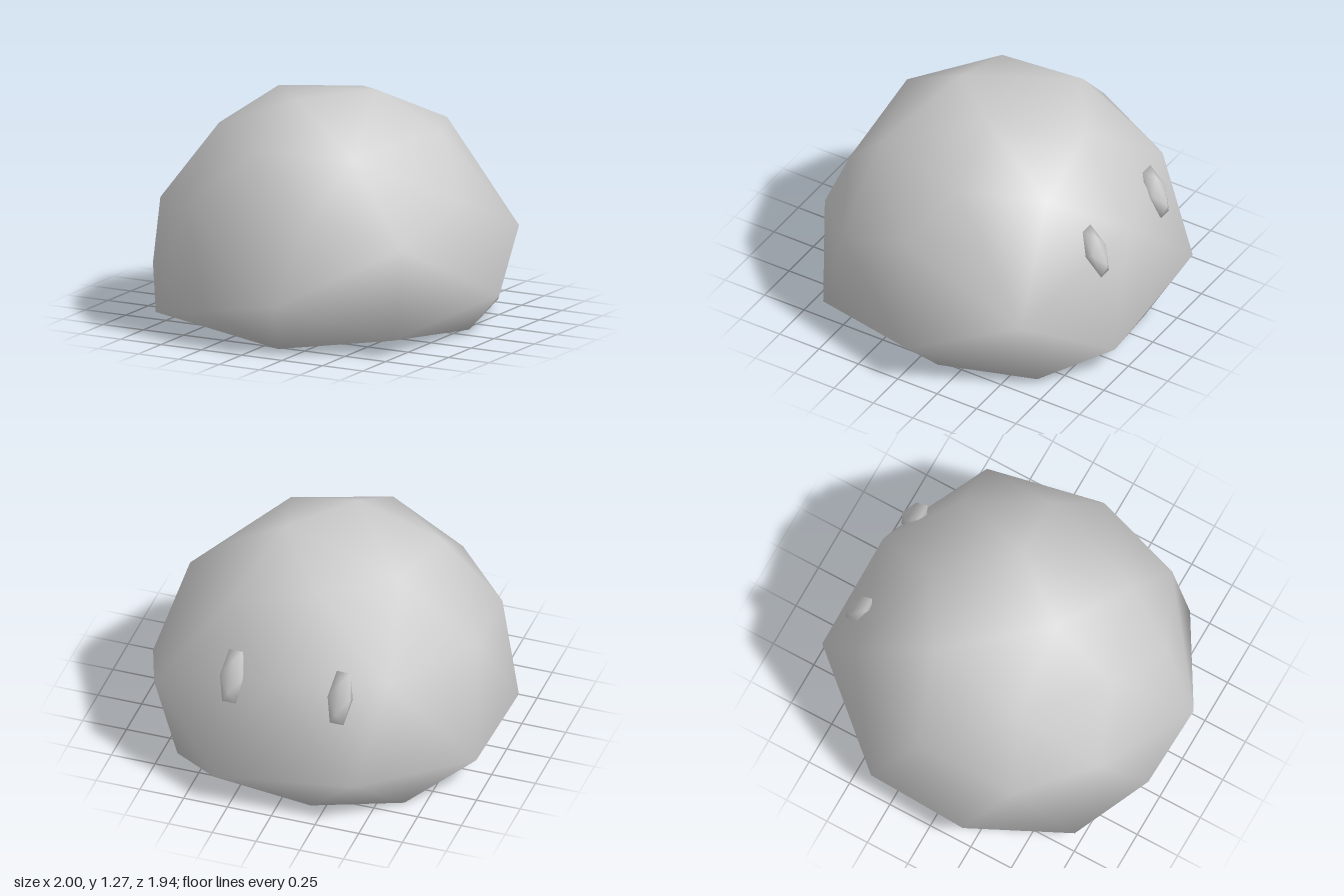
import * as THREE from 'three';
import { mergeVertices } from 'three/addons/utils/BufferGeometryUtils.js';
import { ConvexGeometry } from 'three/addons/geometries/ConvexGeometry.js';

// Shares the corners so that the low-poly surface is shaded smoothly
function smooth(geometry) {
  geometry.deleteAttribute('normal');
  geometry.deleteAttribute('uv');
  const merged = mergeVertices(geometry, 1e-4);
  merged.computeVertexNormals();
  return merged;
}

export function createModel() {
  const group = new THREE.Group();
  const material = new THREE.MeshStandardMaterial({ color: 0xcccccc });

  // Body: an irregular flat-bottomed dome, ring by ring from the ground up
  const base = [[0.78, 0, -0.12], [0.1, 0, 0.78], [-0.83, 0, 0.1], [-0.64, 0, -0.65], [-0.17, 0, -0.84],
    [0.65, 0.04, -0.67]];
  const belly = [[1, 0.23, -0.06], [0.73, 0.09, 0.64], [0.18, 0.28, 0.97], [-0.27, 0.2, 0.94], [-0.69, 0.1, 0.72],
    [-1, 0.23, 0.2], [-0.96, 0.18, -0.39], [-0.46, 0.28, -0.97], [0.34, 0.16, -0.97], [0.79, 0.47, -0.65]];
  const shoulder = [[0.83, 0.77, 0.06], [0.73, 0.57, 0.53], [0.27, 0.72, 0.76], [-0.49, 0.72, 0.75],
    [-0.83, 0.66, 0.42], [-0.88, 0.77, -0.15], [-0.57, 0.8, -0.71], [0.07, 0.77, -0.89]];
  const crown = [[0.6, 1.07, -0.14], [0.4, 1.02, 0.48], [-0.13, 1.04, 0.64], [-0.54, 1.08, 0.29],
    [-0.48, 1.18, -0.26], [-0.1, 1.17, -0.51], [0.39, 1.04, -0.57], [0.22, 1.27, -0.1], [-0.07, 1.26, 0.26]];
  const points = [...base, ...belly, ...shoulder, ...crown].map((p) => new THREE.Vector3(...p));
  const body = new THREE.Mesh(smooth(new ConvexGeometry(points)), material);
  body.name = 'body';
  group.add(body);

  // Eyes: narrow upright ovals that lean with the body wall
  const eyeGeometry = smooth(new THREE.IcosahedronGeometry(1, 0));
  for (const [name, x] of [['rightEye', -0.33], ['leftEye', 0.285]]) {
    const eye = new THREE.Mesh(eyeGeometry, material);
    eye.name = name;
    eye.scale.set(0.075, 0.17, 0.05);
    eye.rotation.x = 0.42;
    eye.position.set(x, 0.735, -0.815);
    group.add(eye);
  }
  return group;
}
